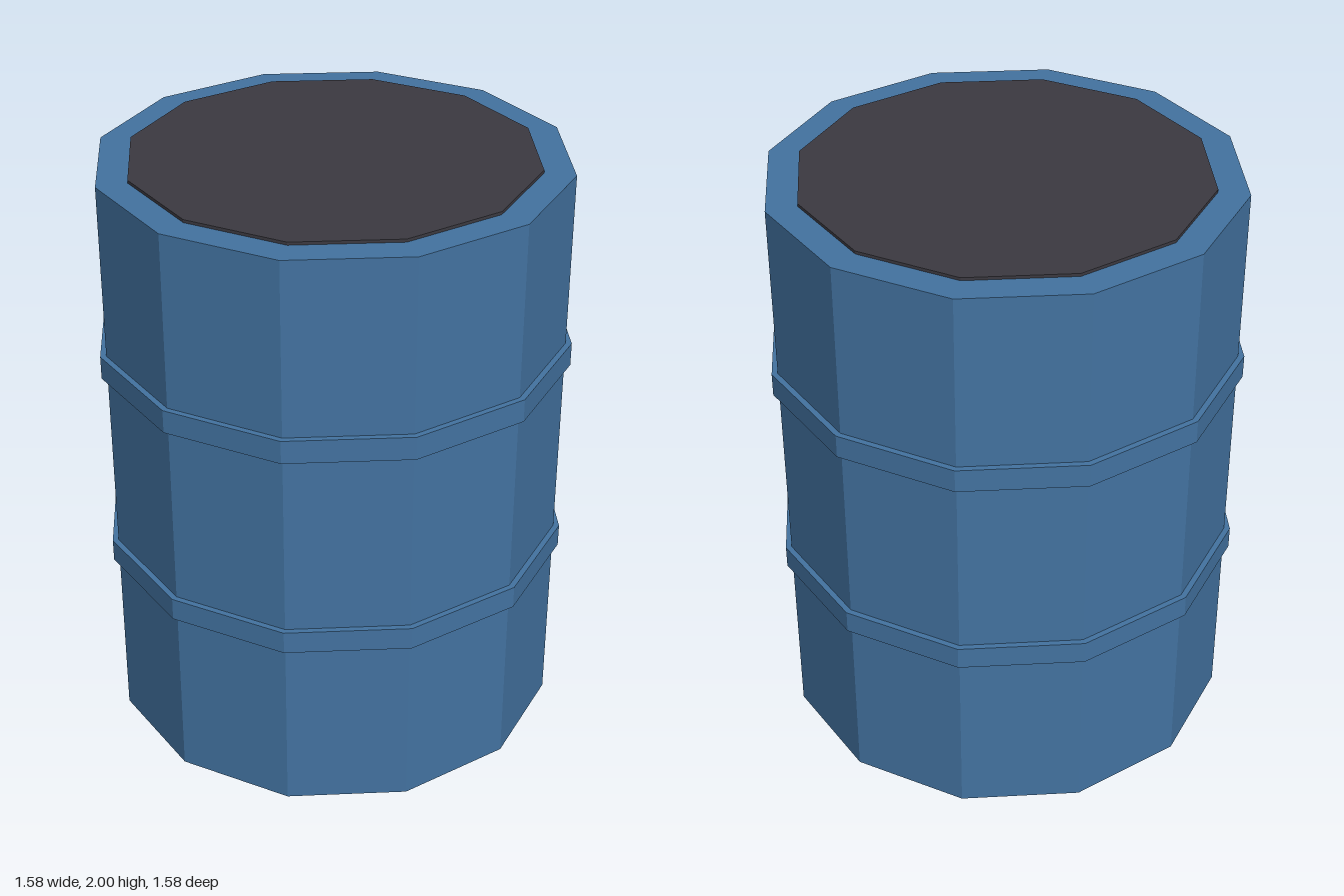
import * as THREE from 'three';

const SIDES = 12;

export function createModel() {
  const group = new THREE.Group();
  group.name = 'barrel';

  const blue = new THREE.MeshStandardMaterial({ color: 0x4373a1, flatShading: true });
  blue.name = 'blue paint';
  const dark = new THREE.MeshStandardMaterial({ color: 0x3c3a41, flatShading: true });
  dark.name = 'dark lid';

  // Twelve-sided drum section between two heights
  function drum(name, radius, bottom, top, material) {
    const geometry = new THREE.CylinderGeometry(radius, radius, top - bottom, SIDES);
    const mesh = new THREE.Mesh(geometry, material);
    mesh.position.y = (bottom + top) / 2;
    mesh.name = name;
    group.add(mesh);
  }

  drum('body', 0.77, 0, 1.99, blue);

  // Raised hoops around the body
  drum('lowerHoop', 0.79, 0.615, 0.693, blue);
  drum('upperHoop', 0.79, 1.323, 1.402, blue);

  // Thin lid standing just proud of the rim
  drum('lid', 0.668, 1.95, 2, dark);

  return group;
}
